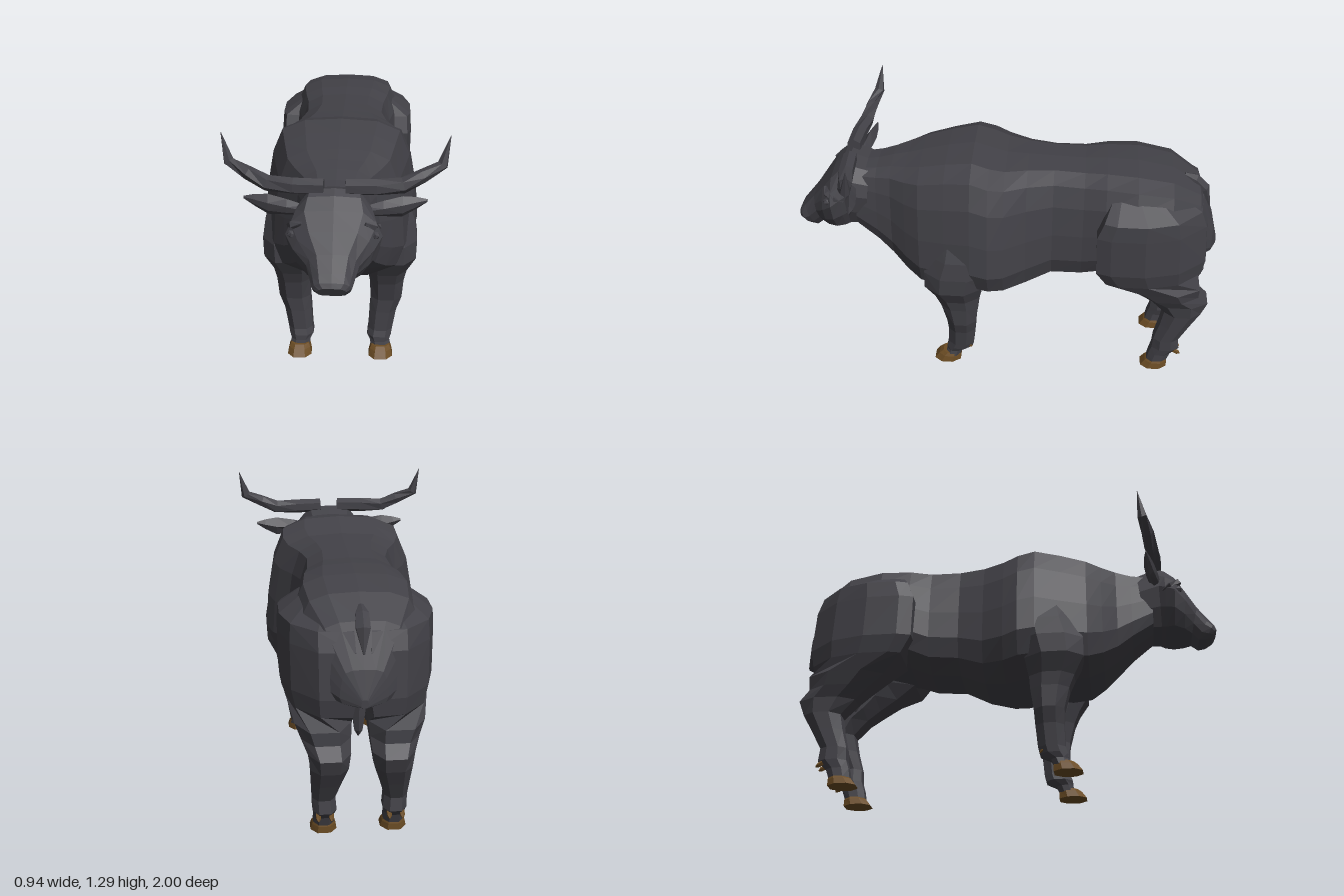
import * as THREE from 'three';

const hide = new THREE.MeshStandardMaterial({ color: 0x424147 });
hide.name = 'charcoal hide';
const horny = new THREE.MeshStandardMaterial({ color: 0x6b4c24 });
horny.name = 'brown hoof';

const V = (x, y, z) => new THREE.Vector3(x, y, z);

// Flat-faced closed skin through equal rings of points, always facing outward
function loft(rings) {
  const tris = [];
  const n = rings[0].length;
  for (let i = 0; i + 1 < rings.length; i++) {
    for (let j = 0; j < n; j++) {
      const k = (j + 1) % n;
      const a = rings[i][j], b = rings[i][k], c = rings[i + 1][k], d = rings[i + 1][j];
      tris.push([a, b, c], [a, c, d]);
    }
  }
  const cap = (ring, flip) => {
    const mid = ring.reduce((s, p) => s.add(p), V(0, 0, 0)).divideScalar(n);
    ring.forEach((p, j) => {
      const q = ring[(j + 1) % n];
      tris.push(flip ? [mid, q, p] : [mid, p, q]);
    });
  };
  cap(rings[0], true);
  cap(rings[rings.length - 1], false);
  const volume = tris.reduce((s, [a, b, c]) => s + a.dot(b.clone().cross(c)), 0);
  const pts = tris.flatMap(([a, b, c]) => (volume < 0 ? [a, c, b] : [a, b, c]));
  const g = new THREE.BufferGeometry().setFromPoints(pts);
  g.computeVertexNormals();
  return g;
}

function part(name, geometry, material = hide) {
  const m = new THREE.Mesh(geometry, material);
  m.name = name;
  return m;
}

// Symmetric ring from a half profile [width, height], between a top and bottom point [z, y]
function bodyRing(half, w, top, bottom) {
  const at = (u, t) => V(u * w, bottom[1] + (top[1] - bottom[1]) * t, bottom[0] + (top[0] - bottom[0]) * t);
  const right = half.map(([u, t]) => at(u, t));
  const left = half.slice(1, -1).reverse().map(([u, t]) => at(-u, t));
  return [...right, ...left];
}

// Horizontal leg ring [y, zBack, zFront, xInner, xOuter] on a unit outline
function legRing(shape, s, [y, z0, z1, x0, x1]) {
  return shape.map(([u, v]) => V(
    s * ((x0 + x1) / 2 + u * (x1 - x0) / 2), y, (z0 + z1) / 2 + v * (z1 - z0) / 2));
}

// Tapering spike through points [x, y, z, radius]
function spike(path, s, sides) {
  const p = path.map(([x, y, z]) => V(s * x, y, z));
  return loft(path.map(([, , , r], i) => {
    const dir = p[Math.min(i + 1, p.length - 1)].clone().sub(p[Math.max(i - 1, 0)]).normalize();
    const turn = new THREE.Quaternion().setFromUnitVectors(V(0, 0, 1), dir);
    return Array.from({ length: sides }, (_, j) => {
      const a = ((j + 0.5) / sides) * Math.PI * 2;
      return V(Math.cos(a) * r, Math.sin(a) * r, 0).applyQuaternion(turn).add(p[i]);
    });
  }));
}

const torsoHalf = [[0, 1], [0.47, 0.985], [0.76, 0.92], [0.89, 0.75], [0.97, 0.5], [1, 0.26], [0.88, 0.1], [0.45, 0.015], [0, 0]];
const headHalf = [[0, 1], [0.6, 0.98], [0.88, 0.8], [1, 0.6], [0.9, 0.3], [0.66, 0.04], [0, 0]];
const legShape = [[0.5, 1], [1, 0.45], [1, -0.4], [0.5, -1], [-0.5, -1], [-1, -0.4], [-1, 0.45], [-0.5, 1]];
const thighShape = [[0.88, 1], [1, 0.75], [1, 0.15], [0.74, -0.45], [0.05, -0.93], [-0.9, -1], [-1, 0.4], [-0.6, 1]];

// [z, top y, bottom y, half width]
const torso = [
  [-0.995, 0.7, 0.665, 0.015], [-0.965, 0.82, 0.66, 0.1], [-0.89, 1.0, 0.665, 0.2], [-0.76, 1.08, 0.65, 0.27],
  [-0.6, 1.11, 0.61, 0.29], [-0.46, 1.115, 0.59, 0.27], [-0.36, 1.11, 0.55, 0.245], [-0.22, 1.115, 0.54, 0.235],
  [-0.1, 1.12, 0.485, 0.27], [0.0, 1.125, 0.47, 0.33], [0.07, 1.145, 0.48, 0.36], [0.15, 1.17, 0.49, 0.352],
  [0.27, 1.15, 0.48, 0.325], [0.39, 1.12, 0.49, 0.295], [0.46, 1.1, 0.53, 0.245], [0.53, 1.085, 0.59, 0.19],
  [0.6, 1.065, 0.66, 0.165], [0.7, 1.05, 0.74, 0.14],
];

// [half width, top z, top y, bottom z, bottom y]
const head = [
  [0.15, 0.63, 1.05, 0.66, 0.75], [0.165, 0.73, 1.085, 0.74, 0.745], [0.18, 0.765, 1.065, 0.76, 0.74],
  [0.2, 0.81, 1.02, 0.8, 0.74], [0.165, 0.86, 0.95, 0.845, 0.735], [0.108, 0.915, 0.875, 0.88, 0.73],
  [0.09, 0.965, 0.815, 0.91, 0.7], [0.082, 0.99, 0.785, 0.945, 0.705], [0.06, 1.0, 0.765, 0.975, 0.72],
];

const foreLeg = [
  [0.85, 0.1, 0.3, 0.15, 0.3], [0.72, 0.06, 0.34, 0.12, 0.345], [0.63, 0.07, 0.37, 0.12, 0.357],
  [0.54, 0.1, 0.37, 0.12, 0.353], [0.46, 0.118, 0.325, 0.13, 0.312], [0.4, 0.122, 0.3, 0.14, 0.3],
  [0.3, 0.137, 0.275, 0.145, 0.292], [0.23, 0.142, 0.272, 0.14, 0.267], [0.13, 0.152, 0.275, 0.135, 0.25],
  [0.1, 0.16, 0.285, 0.13, 0.245], [0.075, 0.21, 0.287, 0.145, 0.235], [0.045, 0.222, 0.295, 0.148, 0.242],
];

// Upper rings use the thigh outline, lower rings the plain leg outline
const thigh = [
  [1.05, -0.74, -0.5, 0.05, 0.2], [0.96, -0.91, -0.455, 0.02, 0.325], [0.88, -0.94, -0.425, 0.015, 0.33],
  [0.68, -0.955, -0.43, 0.015, 0.327], [0.6, -0.94, -0.48, 0.03, 0.305],
];
const shank = [
  [0.53, -0.925, -0.57, 0.035, 0.275], [0.47, -0.925, -0.65, 0.04, 0.25], [0.42, -0.975, -0.71, 0.045, 0.225],
  [0.35, -0.95, -0.775, 0.055, 0.215], [0.27, -0.905, -0.76, 0.08, 0.21], [0.18, -0.857, -0.735, 0.105, 0.205],
  [0.12, -0.865, -0.732, 0.1, 0.203], [0.08, -0.825, -0.72, 0.11, 0.197], [0.035, -0.81, -0.712, 0.108, 0.198],
];

// Hoof and paired dewclaws around [centre x, back z, ground y]
function addFoot(group, name, s, x, z, y) {
  group.add(part(name + 'Hoof', loft([
    [y + 0.046, z + 0.002, z + 0.085, x - 0.042, x + 0.042],
    [y + 0.03, z - 0.002, z + 0.105, x - 0.05, x + 0.05],
    [y, z - 0.002, z + 0.127, x - 0.057, x + 0.057],
  ].map((r) => legRing(legShape, s, r))), horny));
  for (const dx of [-0.028, 0.028]) {
    group.add(part(name + 'Dewclaw', spike([
      [x + dx, y + 0.11, z - 0.03, 0.012], [x + dx, y + 0.098, z - 0.05, 0.011], [x + dx, y + 0.09, z - 0.062, 0.003],
    ], s, 5), horny));
  }
}

export function createModel() {
  const model = new THREE.Group();
  model.name = 'bull';

  // Trunk and head
  model.add(part('torso', loft(torso.map(([z, t, b, w]) => bodyRing(torsoHalf, w, [z, t], [z, b])))));
  model.add(part('head', loft(head.map(([w, tz, ty, bz, by]) => bodyRing(headHalf, w, [tz, ty], [bz, by])))));

  // Tail stub and scrotum
  model.add(part('tail', spike([
    [0, 1.04, -0.815, 0.012], [0, 1.015, -0.86, 0.032], [0, 0.97, -0.905, 0.034], [0, 0.875, -0.945, 0.004]], 1, 6)));
  model.add(part('scrotum', spike([
    [0, 0.69, -0.75, 0.05], [0, 0.53, -0.75, 0.03], [0, 0.46, -0.75, 0.02], [0, 0.432, -0.75, 0.003]], 1, 6)));

  for (const s of [1, -1]) {
    const side = new THREE.Group();
    side.name = s > 0 ? 'leftSide' : 'rightSide';

    side.add(part('foreLeg', loft(foreLeg.map((r) => legRing(legShape, s, r)))));
    side.add(part('hindLeg', loft([
      ...thigh.map((r) => legRing(thighShape, s, r)), ...shank.map((r) => legRing(legShape, s, r))])));
    addFoot(side, 'fore', s, 0.195, 0.222, 0.015);
    addFoot(side, 'hind', s, 0.153, -0.81, 0);

    // Horn sweeping out, then up to a point
    side.add(part('horn', spike([
      [0.045, 1.09, 0.725, 0.034], [0.17, 1.088, 0.72, 0.036], [0.28, 1.092, 0.705, 0.034],
      [0.36, 1.13, 0.69, 0.029], [0.44, 1.17, 0.665, 0.024], [0.47, 1.29, 0.648, 0.001]], s, 6)));

    // Leaf-shaped ear: [x, centre y, half height, centre z, half depth]
    side.add(part('ear', loft([
      [0.12, 0.98, 0.02, 0.72, 0.025], [0.2, 0.985, 0.035, 0.705, 0.028], [0.28, 0.99, 0.046, 0.69, 0.024],
      [0.34, 1.003, 0.026, 0.68, 0.014], [0.383, 1.012, 0.006, 0.675, 0.003],
    ].map(([x, y, h, z, d]) => [[0, 1], [1, 0.3], [0.8, -0.5], [0, -1], [-1, 0]].map(([u, v]) =>
      V(s * x, y + v * h, z + u * d))))));

    // Brow ridge and eye
    side.add(part('brow', spike([
      [0.13, 0.975, 0.835, 0.008], [0.165, 0.96, 0.82, 0.02], [0.182, 0.94, 0.785, 0.014], [0.17, 0.92, 0.75, 0.004]], s, 5)));
    const eye = part('eye', new THREE.IcosahedronGeometry(0.018, 0));
    eye.position.set(s * 0.172, 0.92, 0.825);
    side.add(eye);

    model.add(side);
  }
  return model;
}
